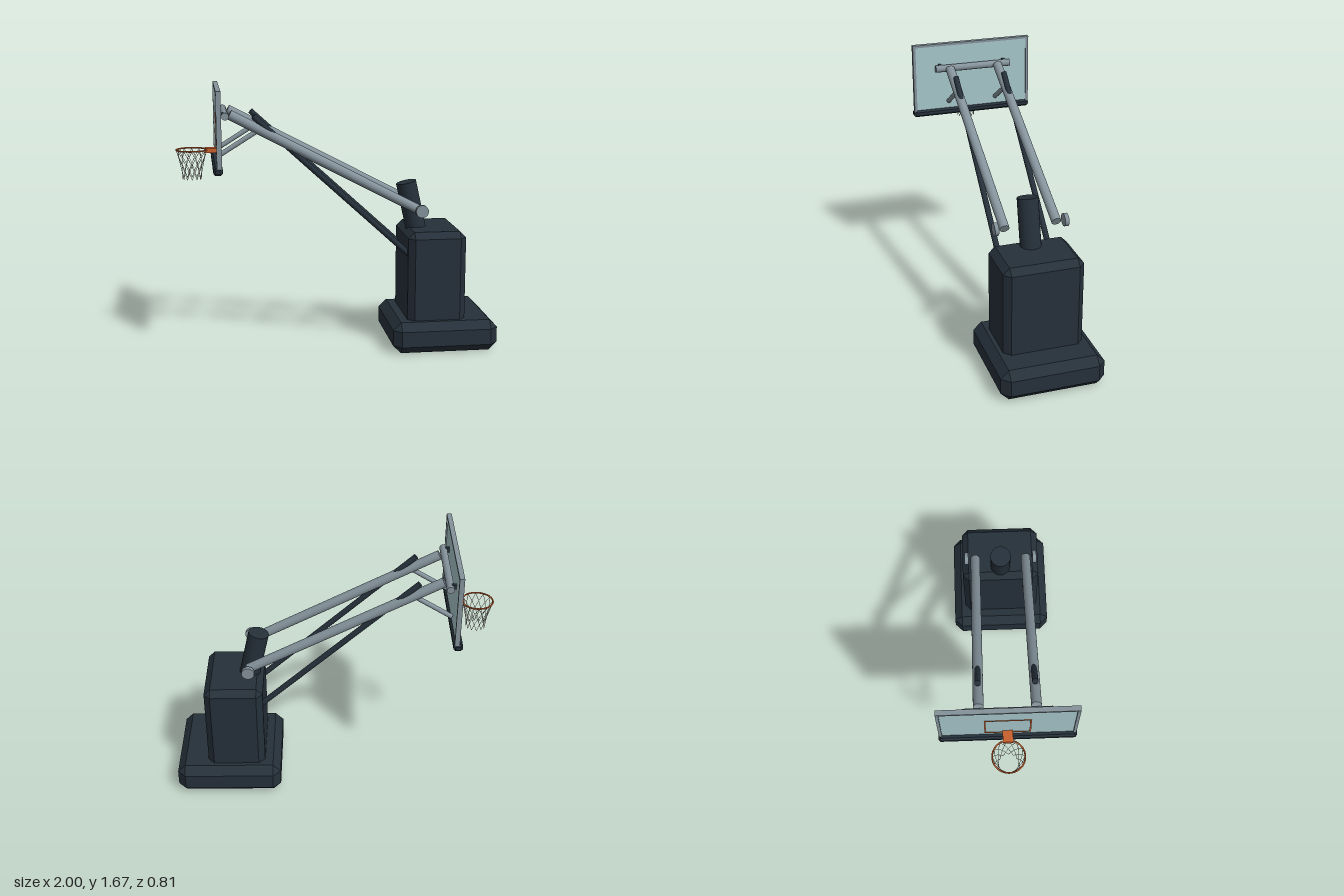
import * as THREE from 'three';
import { ConvexGeometry } from 'three/addons/geometries/ConvexGeometry.js';

const material = (name, color) => {
  const m = new THREE.MeshStandardMaterial({ color });
  m.name = name;
  return m;
};

export function createModel() {
  const dark = material('dark slate', 0x25303a);
  const steel = material('grey steel', 0x84929b);
  const glass = material('pale glass', 0xa6c6ca);
  const orange = material('rim orange', 0xc8602c);
  const cord = material('net cord', 0xd8d8d2);

  const model = new THREE.Group();
  model.name = 'basketballHoop';
  const V = (x, y, z) => new THREE.Vector3(x, y, z);

  const add = (name, geometry, mat, parent = model) => {
    const mesh = new THREE.Mesh(geometry, mat);
    mesh.name = name;
    parent.add(mesh);
    return mesh;
  };
  const box = (name, mat, w, h, d, x, y, z, parent) => {
    const mesh = add(name, new THREE.BoxGeometry(w, h, d), mat, parent);
    mesh.position.set(x, y, z);
    return mesh;
  };
  // Box with every edge and corner cut by c
  const chamferBox = (name, mat, w, h, d, c, x, y, z) => {
    const points = [];
    for (const sx of [-1, 1]) for (const sy of [-1, 1]) for (const sz of [-1, 1]) {
      const [a, b, e] = [w / 2, h / 2, d / 2];
      points.push(
        V(sx * a, sy * (b - c), sz * (e - c)),
        V(sx * (a - c), sy * b, sz * (e - c)),
        V(sx * (a - c), sy * (b - c), sz * e));
    }
    add(name, new ConvexGeometry(points), mat).position.set(x, y, z);
  };
  // Round bar between two points
  const bar = (name, mat, from, to, r, sides = 20) => {
    const dir = to.clone().sub(from);
    const mesh = add(name, new THREE.CylinderGeometry(r, r, dir.length(), sides), mat);
    mesh.position.copy(from).add(to).multiplyScalar(0.5);
    mesh.quaternion.setFromUnitVectors(V(0, 1, 0), dir.normalize());
    return mesh;
  };

  // Weighted base, padded tower and leaning post
  chamferBox('base', dark, 0.67, 0.2, 0.65, 0.05, 0.665, 0.1, 0);
  chamferBox('tower', dark, 0.37, 0.615, 0.5, 0.04, 0.617, 0.4575, 0);
  bar('post', dark, V(0.55, 0.62, 0), V(0.453, 1.052, 0), 0.065, 24);

  // Lift arms, struts, braces and pivots on both sides
  for (const s of [-1, 1]) {
    const z = s * 0.163;
    bar('liftArm', steel, V(0.515, 0.895, z), V(-0.67, 1.515, z), 0.03);
    bar('strut', dark, V(0.48, 0.585, z), V(-0.525, 1.503, z), 0.018);
    bar('boardBrace', steel, V(-0.5, 1.415, z), V(-0.725, 1.275, z), 0.015);
    bar('pivotCap', steel, V(0.515, 0.9, s * 0.207), V(0.515, 0.9, s * 0.232), 0.04);
    box('mountBracket', dark, 0.035, 0.03, 0.02, -0.717, 1.52, s * 0.22);
  }
  bar('crossBar', steel, V(-0.698, 1.513, -0.255), V(-0.698, 1.513, 0.255), 0.023);

  // Backboard: glass pane, frame and bottom pad
  const board = new THREE.Group();
  board.name = 'backboard';
  model.add(board);
  box('pane', glass, 0.014, 0.47, 0.78, -0.74, 1.435, 0, board);
  for (const s of [-1, 1]) box('frameSide', steel, 0.03, 0.485, 0.018, -0.74, 1.4325, s * 0.39, board);
  box('frameTop', steel, 0.03, 0.016, 0.798, -0.74, 1.667, 0, board);
  chamferBox('bottomPad', dark, 0.056, 0.045, 0.806, 0.012, -0.748, 1.202, 0);

  // Target square on the playing face
  for (const s of [-1, 1]) {
    box('targetSide', orange, 0.004, 0.24, 0.009, -0.748, 1.38, s * 0.13, board);
    box('targetEdge', orange, 0.004, 0.009, 0.269, -0.748, 1.38 + s * 0.12, 0, board);
  }

  // Rim and its bracket
  const hoop = new THREE.Group();
  hoop.name = 'hoop';
  model.add(hoop);
  box('rimBracket', orange, 0.07, 0.028, 0.06, -0.783, 1.28, 0, hoop);
  const rim = add('rim', new THREE.TorusGeometry(0.095, 0.005, 8, 40), orange, hoop);
  rim.rotation.x = Math.PI / 2;
  rim.position.set(-0.9, 1.283, 0);

  // Net: two crossing families of cords narrowing downwards
  const radii = [0.094, 0.082, 0.07, 0.062, 0.058];
  const count = 12;
  for (let i = 0; i < count; i++) for (const s of [-1, 1]) {
    const path = new THREE.CurvePath();
    const node = (k) => {
      const a = (i + s * k / 2) * 2 * Math.PI / count;
      return V(-0.9 + radii[k] * Math.cos(a), 1.28 - k * 0.045, radii[k] * Math.sin(a));
    };
    for (let k = 0; k < 4; k++) path.add(new THREE.LineCurve3(node(k), node(k + 1)));
    add('netCord', new THREE.TubeGeometry(path, 12, 0.0016, 4), cord, hoop);
  }

  return model;
}
